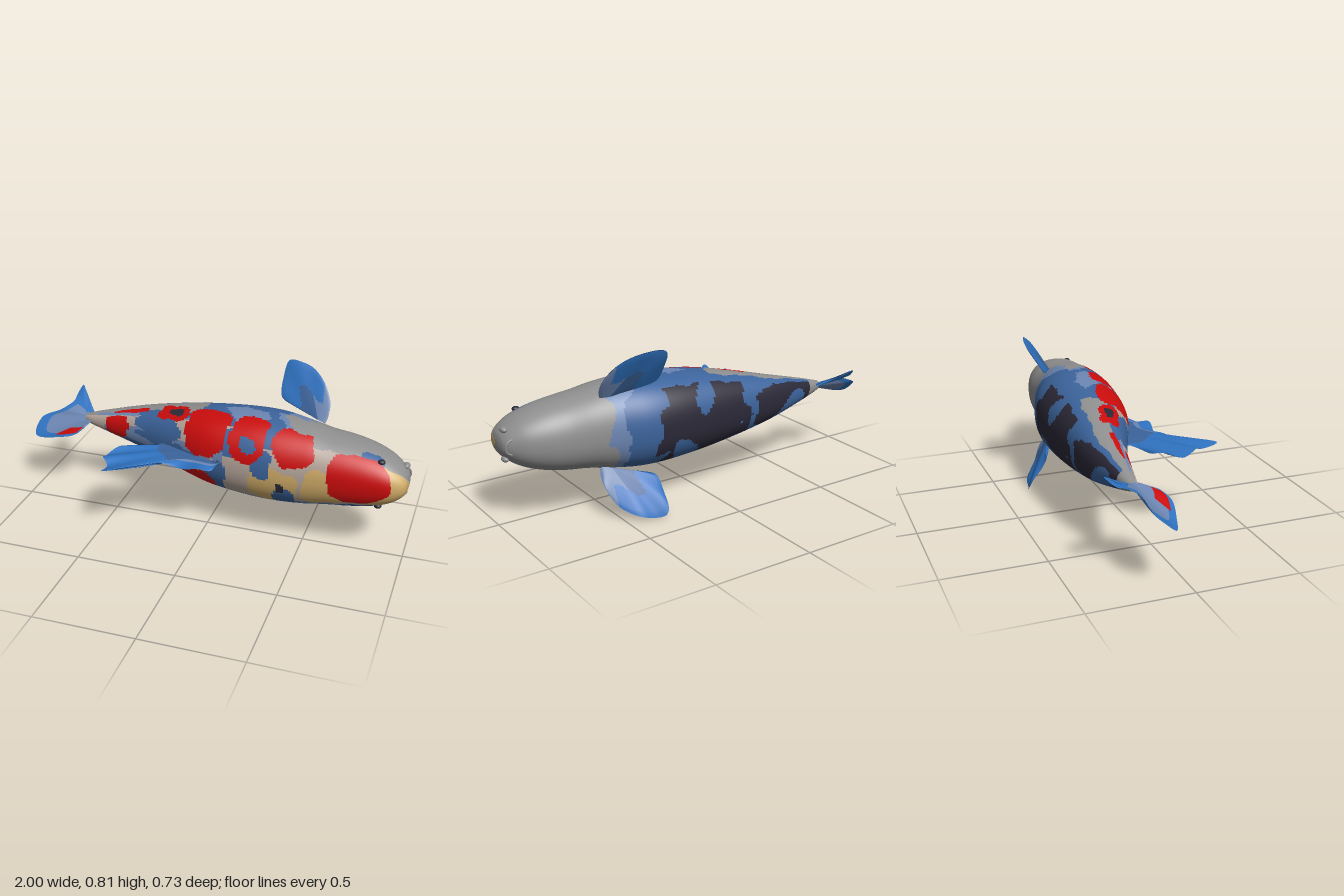
import * as THREE from 'three';

const mat = (name, color, side = THREE.FrontSide) => {
  const m = new THREE.MeshStandardMaterial({ color, side });
  m.name = name;
  return m;
};
const V = (a) => new THREE.Vector3(...a);
const GREY = 0, BEIGE = 1, SLATE = 2, BLUE = 3, DARK = 4, RED = 5, TAN = 6, FIN = 7;

// Builds an indexed geometry with one group per colour
function paintedGeometry(positions, faces, colours) {
  const geo = new THREE.BufferGeometry();
  geo.setAttribute('position', new THREE.Float32BufferAttribute(positions, 3));
  const index = [];
  for (let c = 0; c < colours; c++) {
    const start = index.length;
    for (const f of faces) if (f.colour === c) index.push(...f.tris);
    if (index.length > start) geo.addGroup(start, index.length - start, c);
  }
  geo.setIndex(index);
  geo.computeVertexNormals();
  return geo;
}

// Body stations: x, half width, back z, belly z
const stations = [
  [-0.73, 0.022, -0.165, -0.2], [-0.69, 0.034, -0.15, -0.217], [-0.6, 0.06, -0.13, -0.238],
  [-0.4, 0.112, -0.08, -0.28], [-0.2, 0.16, 0.0, -0.298], [0, 0.197, 0.08, -0.31],
  [0.2, 0.216, 0.115, -0.314], [0.35, 0.218, 0.125, -0.3], [0.5, 0.203, 0.122, -0.255],
  [0.6, 0.184, 0.12, -0.235], [0.72, 0.168, 0.118, -0.222], [0.82, 0.147, 0.114, -0.197],
  [0.9, 0.118, 0.105, -0.162], [0.955, 0.083, 0.085, -0.12], [0.985, 0.05, 0.06, -0.085],
  [0.995, 0.022, 0.02, -0.05], [0.997, 0.001, -0.01, -0.012],
];

// Koi patches: colour, x, angle from the back ridge, x radius, angle radius
const patches = [
  [TAN, 0.92, -5, 0.1, 58], [TAN, 0.36, -20, 0.12, 25], [TAN, 0.6, -14, 0.1, 26],
  [SLATE, -0.42, -15, 0.16, 30], [SLATE, -0.08, 2, 0.12, 16], [SLATE, 0.55, -55, 0.12, 15],
  [BLUE, 0.06, -32, 0.06, 30], [BLUE, 0.41, -38, 0.06, 24], [BLUE, 0.77, -50, 0.1, 12],
  [BLUE, -0.3, 30, 0.14, 24], [BLUE, 0.3, 8, 0.05, 18], [BLUE, 0.12, -64, 0.13, 14],
  [BLUE, 0.12, 30, 0.05, 20], [BLUE, 0.34, 55, 0.05, 25], [BLUE, -0.4, -40, 0.12, 16],
  [BLUE, 0.83, 62, 0.06, 9], [BLUE, 0.83, -62, 0.05, 9], [BLUE, -0.25, 2, 0.2, 7],
  [RED, 0.77, 14, 0.155, 45], [RED, 0.45, 38, 0.1, 27], [RED, 0.22, 42, 0.09, 36],
  [RED, -0.01, 45, 0.12, 42], [RED, -0.21, 70, 0.085, 20], [RED, -0.22, -22, 0.11, 19],
  [RED, -0.05, -42, 0.1, 24], [RED, -0.55, 5, 0.065, 46], [RED, -0.46, 72, 0.11, 8],
  [BLUE, 0.22, 33, 0.045, 14], [DARK, -0.2, 70, 0.04, 9], [DARK, 0.4, -14, 0.02, 6],
];

// Smooth, wobbly pattern noise in about -1..1
const noise = (x, y, z, f) =>
  (Math.sin(f * x + 2 * Math.sin(f * 0.7 * y + 1)) + Math.sin(f * 1.1 * z - f * 0.5 * x + 2)
    + Math.sin(f * 1.3 * y + 1.7 * Math.sin(f * 0.8 * x))) / 3;

function bodyColour(x, y, z, deg) {
  const n = noise(x, y, z, 19), m = noise(z, x, y, 43);
  const px = x + 0.014 * n + 0.012 * m, pt = deg + 5 * noise(y, z, x, 24) + 4 * m;
  for (let i = patches.length - 1; i >= 0; i--) {
    const [c, cx, ct, rx, rt] = patches[i];
    if (Math.abs((px - cx) / rx) ** 2.8 + Math.abs((pt - ct) / rt) ** 2.8 < 1) return c;
  }
  const d = Math.abs(pt), w = x + 0.05 * n + 0.03 * m;
  if (d < 52) return w > 0.1 ? BEIGE : n > 0.25 ? BLUE : n > -0.1 ? SLATE : BEIGE;
  if (w > (d < 100 ? 0.42 : 0.5)) return GREY;
  if (w > (d < 100 ? 0.36 : 0.43)) return SLATE;
  if (w < -0.05 && d > 72 && d < 108) return GREY;
  if (w < -0.66) return GREY;
  if (d > 128 && w < 0.27 && (w > -0.22 || w < -0.3) && n < 0.45) return DARK;
  if (d > 98) return BLUE;
  return n > -0.1 ? BLUE : SLATE;
}

function makeBody(materials) {
  const NX = 200, NT = 150;
  const size = new THREE.CatmullRomCurve3(stations.map((s) => V([s[0], s[1], 0])), false, 'catmullrom');
  const height = new THREE.CatmullRomCurve3(stations.map((s) => V([s[0], s[2], s[3]])), false, 'catmullrom');
  const pos = [], faces = [];
  const soft = (v) => Math.sign(v) * Math.abs(v) ** 0.9;
  for (let i = 0; i <= NX; i++) {
    const a = size.getPoint(i / NX), b = height.getPoint(i / NX);
    for (let j = 0; j < NT; j++) {
      const t = (j / NT) * Math.PI * 2;
      pos.push(a.x, 0.4 + Math.max(a.y, 0) * soft(Math.sin(t)),
        (b.y + b.z) / 2 + ((b.y - b.z) / 2) * soft(Math.cos(t)));
    }
  }
  for (let i = 0; i < NX; i++) {
    for (let j = 0; j < NT; j++) {
      const k = (j + 1) % NT;
      const a = i * NT + j, b = a + NT, c = i * NT + k, d = c + NT;
      let deg = ((j + 0.5) / NT) * 360;
      if (deg > 180) deg -= 360;
      const colour = bodyColour(pos[a * 3], pos[a * 3 + 1], pos[a * 3 + 2], deg);
      faces.push({ colour, tris: [a, b, c, b, d, c] });
    }
  }
  const mesh = new THREE.Mesh(paintedGeometry(pos, faces, materials.length), materials);
  mesh.name = 'body';
  return mesh;
}

// Fin: two skins lofted from a root curve to an outer edge, tapering to a thin rim
function makeFin(name, root, tip, normal, thick, ripple, waves, paint, materials) {
  const NU = 70, NV = 16;
  const rc = new THREE.CatmullRomCurve3(root.map(V)), tc = new THREE.CatmullRomCurve3(tip.map(V));
  const n = V(normal).normalize(), pos = [], faces = [];
  for (const s of [1, -1]) {
    const base = pos.length / 3;
    for (let i = 0; i <= NU; i++) {
      const u = i / NU, a = rc.getPoint(u), b = tc.getPoint(u);
      for (let j = 0; j <= NV; j++) {
        const v = j / NV, rim = Math.sqrt(Math.max(0, 1 - v * v)) * Math.sin(Math.PI * u) ** 0.5;
        const off = s * thick * (0.1 + rim) + ripple * v * v * Math.sin(u * waves * Math.PI * 2 + v * 2);
        const p = a.clone().lerp(b, v).addScaledVector(n, off);
        pos.push(p.x, p.y, p.z);
      }
    }
    for (let i = 0; i < NU; i++) {
      for (let j = 0; j < NV; j++) {
        const a = base + i * (NV + 1) + j, b = a + NV + 1;
        const tris = s > 0 ? [a, b, a + 1, b, b + 1, a + 1] : [a, a + 1, b, b, a + 1, b + 1];
        faces.push({ colour: paint(i / NU, j / NV), tris });
      }
    }
  }
  const mesh = new THREE.Mesh(paintedGeometry(pos, faces, materials.length), materials);
  mesh.name = name;
  return mesh;
}

export function createModel() {
  const group = new THREE.Group();
  group.name = 'koi';
  const D = THREE.DoubleSide;
  const materials = [
    mat('grey skin', 0x8f8f90, D), mat('beige skin', 0xb5a59a, D), mat('slate blue', 0x6c86b2, D),
    mat('deep blue', 0x3c649c, D), mat('dark navy', 0x2b2938, D), mat('red', 0xcc0c0c, D),
    mat('tan', 0xd0ac68, D), mat('fin blue', 0x2f72c0, D),
  ];
  group.add(makeBody(materials));

  // Pectoral fins, mirrored across the middle of the back
  const pecZ = (x, y) => -0.18 - (y - 0.6) * 0.6 - (0.55 - x) * 0.25;
  const pecRoot = [[0.55, 0.57], [0.5, 0.58], [0.46, 0.59]];
  const pecTip = [[0.56, 0.6], [0.56, 0.66], [0.52, 0.73], [0.45, 0.785], [0.38, 0.8], [0.315, 0.795],
    [0.297, 0.72], [0.305, 0.635], [0.36, 0.613], [0.44, 0.6]];
  for (const side of [1, -1]) {
    const place = ([x, y]) => [x, 0.4 + side * (y - 0.4), pecZ(x, y)];
    group.add(makeFin(side > 0 ? 'leftPectoralFin' : 'rightPectoralFin', pecRoot.map(place), pecTip.map(place),
      [0.2, side * 0.5, 0.85], 0.011, side > 0 ? 0.002 : 0.007, 4,
      (u, v) => (v < 0.45 + 0.1 * Math.sin(u * 15) || u < 0.22 ? (u < 0.4 ? SLATE : BLUE) : FIN), materials));
  }

  // Dorsal fin swept toward the tail
  const ridge = (p) => [p[0], 0.4 + (p[1] > 0.22 ? 0.012 : 0.002), p[1]];
  group.add(makeFin('dorsalFin',
    [[0.1, 0.085], [0, 0.07], [-0.1, 0.03], [-0.25, -0.03]].map(ridge),
    [[0.09, 0.115], [0.06, 0.165], [0, 0.195], [-0.1, 0.18], [-0.2, 0.2], [-0.3, 0.27], [-0.41, 0.37], [-0.42, 0.28],
      [-0.46, 0.235], [-0.47, 0.16], [-0.42, 0.08], [-0.35, 0.04], [-0.25, 0.015]].map(ridge),
    [0, 1, 0], 0.006, 0.01, 6, (u, v) => (v < 0.3 ? BLUE : v < 0.5 && u < 0.45 ? SLATE : FIN), materials));

  // Forked, twisted tail fin
  group.add(makeFin('tailFin',
    [[-0.69, 0.4, -0.215], [-0.69, 0.4, -0.18], [-0.69, 0.4, -0.15]],
    [[-0.74, 0.415, -0.2], [-0.785, 0.445, -0.25], [-0.82, 0.5, -0.35], [-0.838, 0.47, -0.31], [-0.84, 0.44, -0.25],
      [-0.88, 0.42, -0.205], [-0.99, 0.365, -0.18], [-1.0, 0.3, -0.1], [-0.9, 0.315, -0.055],
      [-0.79, 0.345, -0.033], [-0.73, 0.37, -0.055], [-0.705, 0.39, -0.14]],
    [0.1, 1, 0.15], 0.007, 0.004, 5,
    (u, v) => (u > 0.72 && u < 0.88 && v > 0.45 && v < 0.85 ? RED : v > 0.78 || u < 0.35 ? FIN : SLATE), materials));

  // Paired nostril flaps, barbels and eyes
  const ball = new THREE.SphereGeometry(1, 20, 14);
  const addBall = (name, m, p, s) => {
    const b = new THREE.Mesh(ball, materials[m]);
    b.name = name;
    b.position.set(...p);
    b.scale.set(...s);
    group.add(b);
  };
  for (const s of [1, -1]) {
    addBall('barbel', GREY, [0.972, 0.4 + s * 0.07, -0.05], [0.016, 0.014, 0.024]);
    addBall('eye', DARK, [0.865, 0.4 + s * 0.118, 0.045], [0.018, 0.012, 0.016]);
  }
  // Mouth line under the snout
  const mouth = new THREE.Mesh(new THREE.TorusGeometry(0.035, 0.005, 8, 24, Math.PI), materials[GREY]);
  mouth.name = 'mouth';
  mouth.position.set(0.955, 0.4, -0.105);
  mouth.rotation.z = -Math.PI / 2;
  group.add(mouth);
  return group;
}
